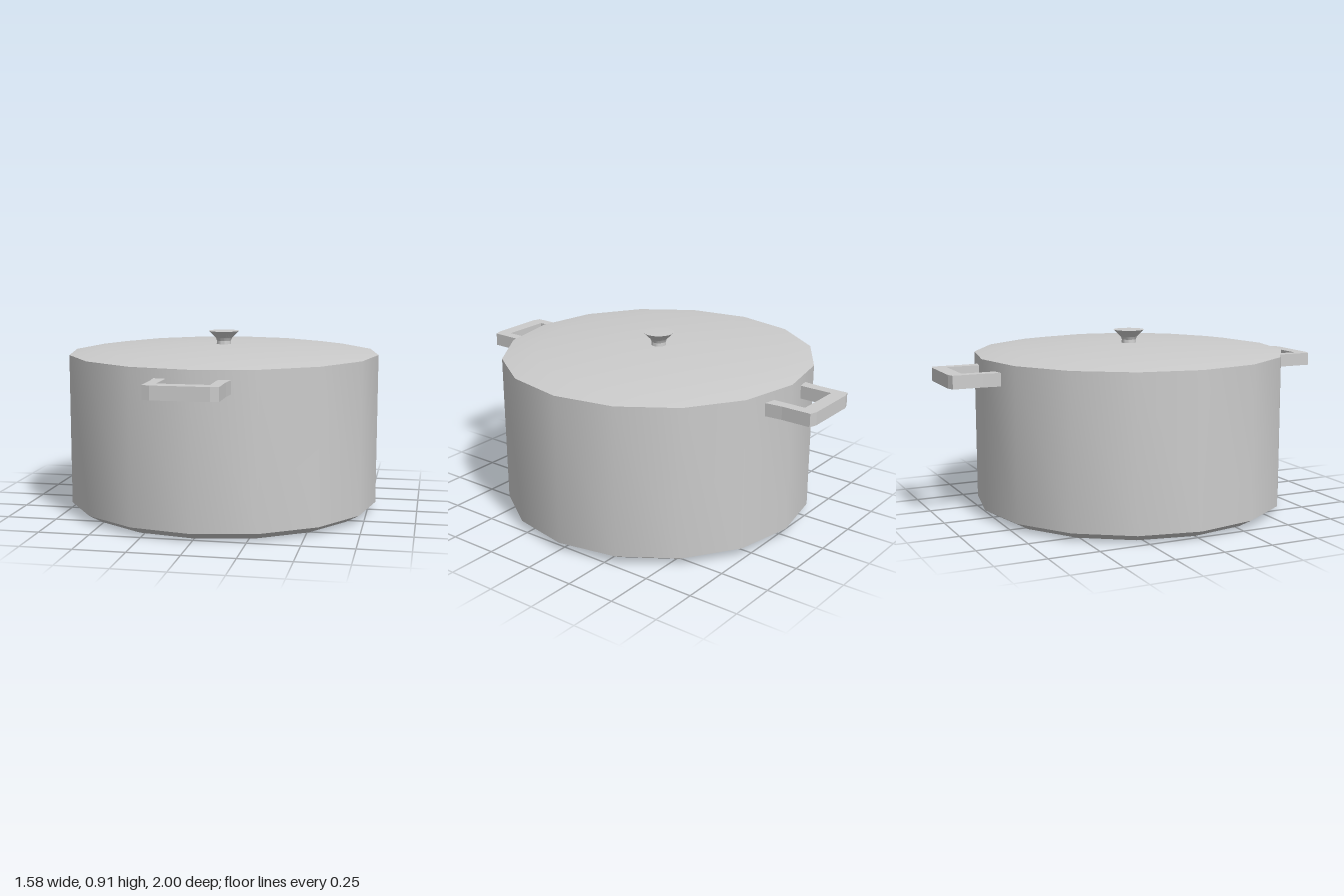
import * as THREE from 'three';
import { toCreasedNormals } from 'three/addons/utils/BufferGeometryUtils.js';

const material = new THREE.MeshStandardMaterial({ color: 0xcccccc });

// Named mesh turned from a [radius, height] profile, listed bottom to top
function turned(name, profile, sides) {
  const points = profile.map(([r, y]) => new THREE.Vector2(r, y));
  const geometry = toCreasedNormals(new THREE.LatheGeometry(points, sides), 0.43);
  const mesh = new THREE.Mesh(geometry, material);
  mesh.name = name;
  return mesh;
}

// U-shaped loop handle, flat bar with a slightly bowed grip
function handle(name, angle) {
  const outline = [
    [-0.18, 0.75], [-0.12, 0.75], [-0.12, 0.93], [0.12, 0.93], [0.12, 0.75], [0.18, 0.75],
    [0.172, 0.84], [0.172, 0.988], [0.135, 1], [-0.135, 1], [-0.172, 0.988], [-0.172, 0.84],
  ];
  const shape = new THREE.Shape(outline.map(([x, z]) => new THREE.Vector2(x, z)));
  const geometry = new THREE.ExtrudeGeometry(shape, { depth: 0.065, bevelEnabled: false });
  geometry.rotateX(Math.PI / 2).translate(0, 0.75, 0);
  const mesh = new THREE.Mesh(geometry, material);
  mesh.name = name;
  mesh.rotation.y = angle;
  return mesh;
}

export function createModel() {
  const group = new THREE.Group();
  group.name = 'cookingPot';

  // Pot with chamfered base
  group.add(turned('potBody', [[0, 0], [0.72, 0], [0.79, 0.04], [0.79, 0.793]], 16));

  // Shallow domed lid
  group.add(turned('lid', [[0, 0.793], [0.79, 0.793], [0.79, 0.796], [0.63, 0.819], [0.2, 0.838], [0, 0.838]], 16));

  // Flared knob
  group.add(turned('lidKnob', [[0.038, 0.83], [0.036, 0.855], [0.042, 0.87], [0.078, 0.905], [0, 0.907]], 32));

  // Pair of handles, front and back
  group.add(handle('frontHandle', 0), handle('backHandle', Math.PI));

  return group;
}
